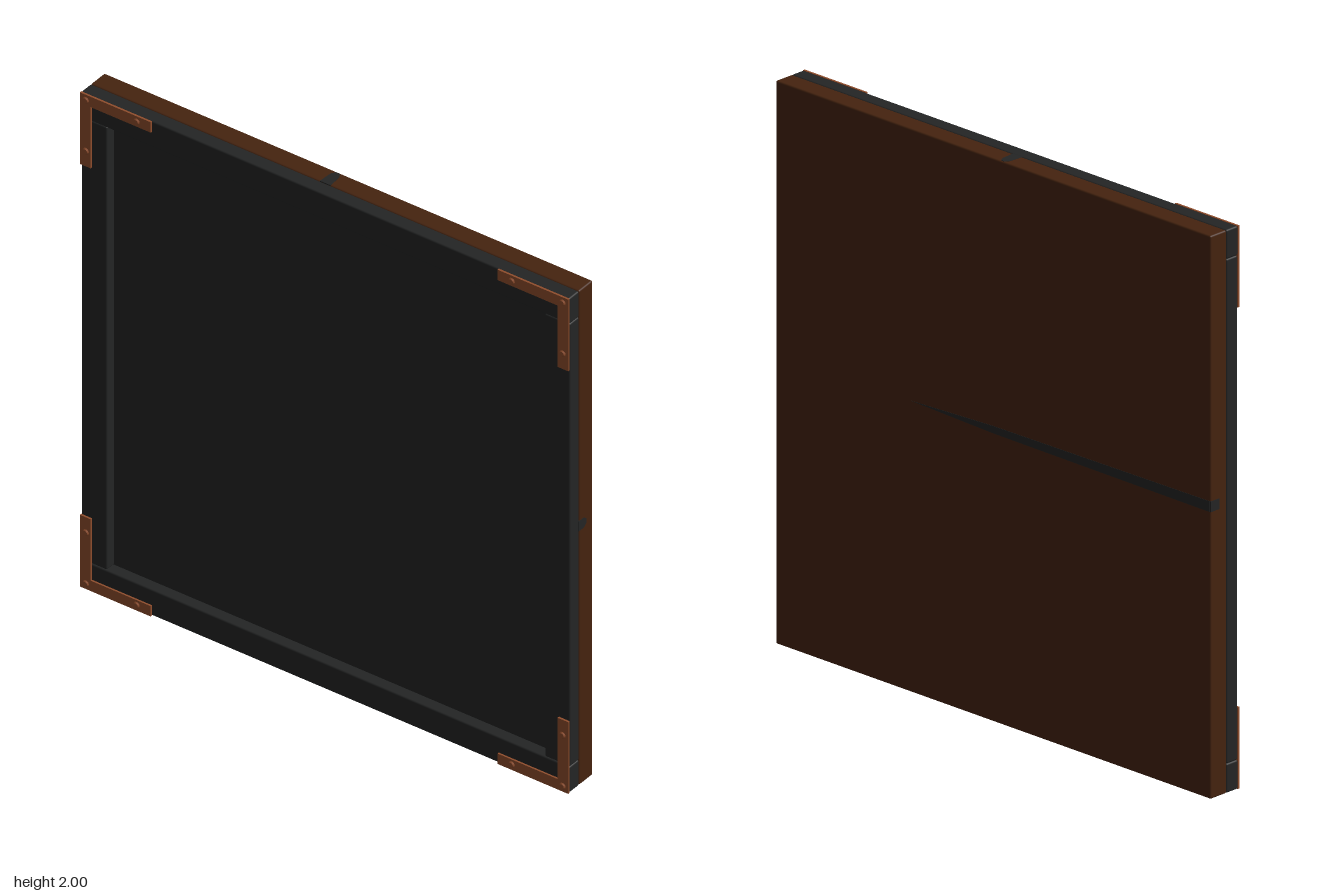
import * as THREE from 'three';
import { RoundedBoxGeometry } from 'three/addons/geometries/RoundedBoxGeometry.js';

export function createModel() {
  const model = new THREE.Group();
  model.name = 'framedPanel';
  const wood = new THREE.MeshStandardMaterial({ name: 'brown wood', color: 0x45230f });
  const iron = new THREE.MeshStandardMaterial({ name: 'dark charcoal', color: 0x242525 });
  const copper = new THREE.MeshStandardMaterial({ name: 'copper', color: 0x8f4d2c });

  const add = (name, geometry, material, x, y, z, parent = model) => {
    const mesh = new THREE.Mesh(geometry, material);
    mesh.name = name;
    mesh.position.set(x, y, z);
    parent.add(mesh);
    return mesh;
  };

  // Wooden backing board and the recessed front sheet
  add('backBoard', new RoundedBoxGeometry(2, 2, 0.076, 2, 0.006), wood, 0, 1, -0.034);
  add('frontSheet', new THREE.BoxGeometry(1.84, 1.84, 0.012), iron, 0, 1, 0.01);

  // Frame: full-width rails with stiles fitted between them
  const railGeo = new RoundedBoxGeometry(2, 0.104, 0.054, 2, 0.006);
  add('topRail', railGeo, iron, 0, 1.948, 0.031);
  add('bottomRail', railGeo, iron, 0, 0.052, 0.031);
  const stileGeo = new RoundedBoxGeometry(0.104, 1.792, 0.052, 2, 0.006);
  for (const side of [-1, 1]) {
    add(side > 0 ? 'leftStile' : 'rightStile', stileGeo, iron, side * 0.948, 1, 0.03);
  }

  // L-shaped corner brackets, each with three rivets
  const rivetGeo = new THREE.CylinderGeometry(0.009, 0.014, 0.006, 12).rotateX(Math.PI / 2);
  for (const sx of [-1, 1]) {
    for (const sy of [-1, 1]) {
      const bracket = new THREE.Group();
      bracket.name = (sy > 0 ? 'top' : 'bottom') + (sx > 0 ? 'Left' : 'Right') + 'Bracket';
      bracket.position.set(sx, 1 + sy, 0);
      model.add(bracket);
      add('bracketAcross', new THREE.BoxGeometry(0.29, 0.042, 0.008), copper,
        -sx * 0.145, -sy * 0.021, 0.061, bracket);
      add('bracketUpright', new THREE.BoxGeometry(0.044, 0.248, 0.008), copper,
        -sx * 0.022, -sy * 0.166, 0.061, bracket);
      for (const [dx, dy] of [[0.024, 0.022], [0.232, 0.022], [0.024, 0.228]]) {
        add('rivet', rivetGeo, copper, -sx * dx, -sy * dy, 0.067, bracket);
      }
    }
  }

  // Thin dark inlay plates
  const plate = (points) => {
    const shape = new THREE.Shape(points.map(([x, y]) => new THREE.Vector2(x, y)));
    return new THREE.ExtrudeGeometry(shape, { depth: 0.004, bevelEnabled: false });
  };
  // Tapering streak across the back
  add('backStreak', plate([[0.38, 1.035], [0, 1.05], [-0.996, 1.058], [-0.996, 1.02], [0, 1.024]]),
    iron, 0, 0, -0.073);
  // Small marks where the inlay meets the edges
  const dome = [[0, -0.02], [0.03, -0.02], [0.042, -0.01], [0.042, 0.01], [0.03, 0.02], [0, 0.02]];
  add('leftEdgeMark', plate(dome), iron, 0.997, 1.05, 0.008).rotation.y = Math.PI / 2;
  add('rightEdgeMark', new THREE.BoxGeometry(0.003, 0.038, 0.04), iron, -0.9995, 1.039, -0.052);
  add('topEdgeMark', plate([[-0.022, 0], [0.022, 0], [0.018, 0.055], [0.008, 0.071], [-0.008, 0.071], [-0.018, 0.055]]),
    iron, -0.04, 1.997, 0.004).rotation.x = -Math.PI / 2;

  return model;
}
